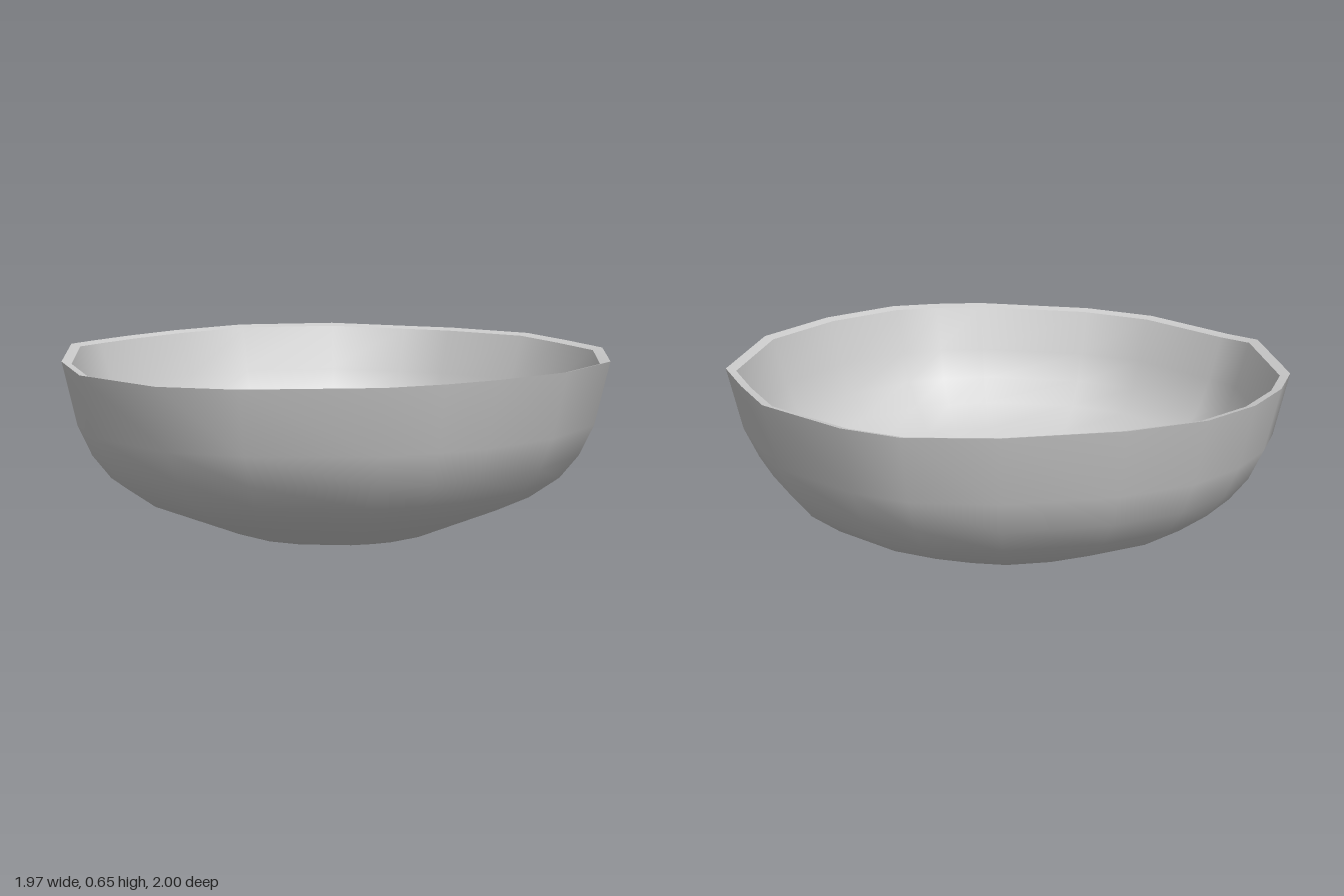
import * as THREE from 'three';

// Uneven rim, clockwise from the back: x, z, height
const RIM = [
  [-0.07, -1.0, 0.64], [0.3, -0.95, 0.64], [0.53, -0.81, 0.635], [0.75, -0.66, 0.63], [0.97, -0.23, 0.63],
  [0.985, 0.14, 0.63], [0.9, 0.45, 0.63], [0.8, 0.6, 0.625], [0.67, 0.74, 0.62],
  [0.28, 0.95, 0.61], [0.0, 1.0, 0.605], [-0.4, 0.9, 0.605], [-0.58, 0.79, 0.63],
  [-0.91, 0.38, 0.64], [-0.965, 0.2, 0.635], [-0.985, -0.03, 0.635], [-0.95, -0.28, 0.64],
  [-0.82, -0.55, 0.65], [-0.55, -0.83, 0.65], [-0.28, -0.97, 0.64],
];

// Profiles from centre to rim: radius share, height share of the rim
const OUTER = [[0, 0], [0.4, 0.01], [0.73, 0.23], [0.835, 0.35], [0.9, 0.48], [0.95, 0.65], [1, 1]];
const INNER = [[0, 0.05], [0.38, 0.07], [0.69, 0.27], [0.8, 0.4], [0.87, 0.54], [0.915, 0.72], [0.965, 0.985]];
const LIP = [[0.965, 0.985], [1, 1]];

// Sweep a profile round the rim; lower rings become rounder
function shell(name, profile, inward, material) {
  const n = RIM.length, pos = [], index = [];
  for (const [r, h] of profile) {
    for (const [x, z, y] of RIM) {
      const len = Math.hypot(x, z);
      const round = (1 - r) * 0.8;
      const s = r * (len * (1 - round) + 0.98 * round) / len;
      pos.push(x * s, y * h, z * s);
    }
  }
  for (let i = 0; i < profile.length - 1; i++) {
    for (let j = 0; j < n; j++) {
      const k = (j + 1) % n;
      const a = i * n + j, b = i * n + k, c = a + n, d = b + n;
      const tris = profile[i][0] === 0 ? [[a, c, d]] : [[a, c, d], [a, d, b]];
      for (const [p, q, t] of tris) index.push(...(inward ? [p, t, q] : [p, q, t]));
    }
  }
  // Share one centre point so its shading is smooth
  if (profile[0][0] === 0) {
    for (let i = 0; i < index.length; i++) if (index[i] < n) index[i] = 0;
  }
  const geo = new THREE.BufferGeometry();
  geo.setAttribute('position', new THREE.Float32BufferAttribute(pos, 3));
  geo.setIndex(index);
  geo.computeVertexNormals();
  const mesh = new THREE.Mesh(geo, material);
  mesh.name = name;
  return mesh;
}

export function createModel() {
  const group = new THREE.Group();
  group.name = 'bowl';
  const clay = new THREE.MeshStandardMaterial({ color: 0xcccccc });
  clay.name = 'pale grey';
  group.add(
    shell('outerWall', OUTER, false, clay),
    shell('innerWall', INNER, true, clay),
    shell('rimLip', LIP, true, clay),
  );
  return group;
}
